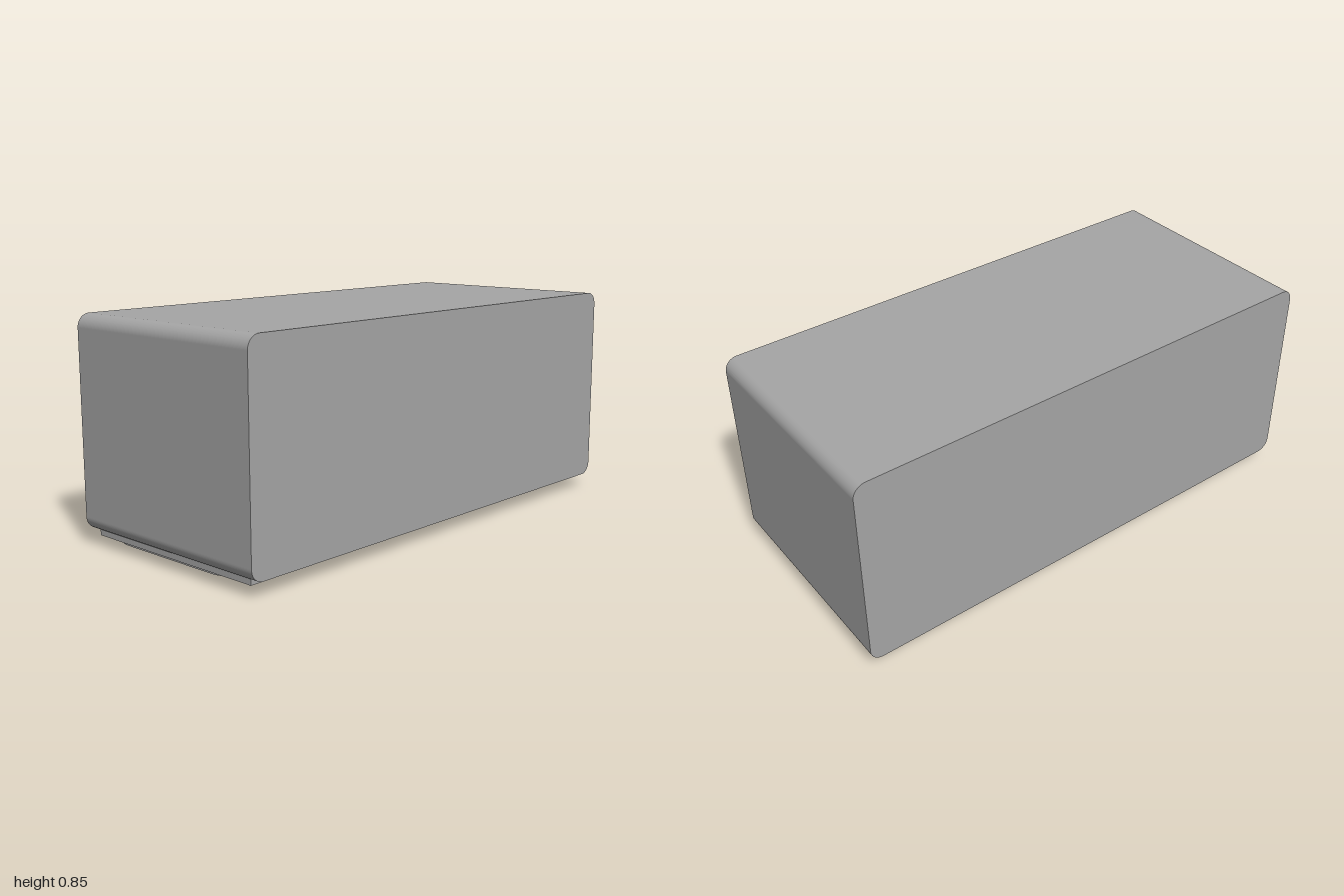
import * as THREE from 'three';

const material = new THREE.MeshStandardMaterial({ color: 0xa5a5a5 });

// Rounded rectangle between two corners
function roundedRect(x0, x1, y0, y1, r) {
  const s = new THREE.Shape();
  s.absarc(x1 - r, y0 + r, r, -Math.PI / 2, 0);
  s.absarc(x1 - r, y1 - r, r, 0, Math.PI / 2);
  s.absarc(x0 + r, y1 - r, r, Math.PI / 2, Math.PI);
  s.absarc(x0 + r, y0 + r, r, Math.PI, Math.PI * 1.5);
  s.closePath();
  return s;
}

function addMesh(group, name, geometry) {
  const mesh = new THREE.Mesh(geometry, material);
  mesh.name = name;
  group.add(mesh);
  return mesh;
}

function addBox(group, name, [x0, x1], [y0, y1], [z0, z1]) {
  const mesh = addMesh(group, name, new THREE.BoxGeometry(x1 - x0, y1 - y0, z1 - z0));
  mesh.position.set((x0 + x1) / 2, (y0 + y1) / 2, (z0 + z1) / 2);
}

export function createModel() {
  const group = new THREE.Group();

  // Main block: rounded along its four long edges, flat front and back
  const body = new THREE.ExtrudeGeometry(roundedRect(-1, 1, 0.055, 0.848, 0.05), {
    depth: 0.892, bevelEnabled: false, curveSegments: 12,
  });
  body.translate(0, 0, -0.446);
  addMesh(group, 'body', body);

  // Base layer, split by a narrow slot
  addBox(group, 'baseLong', [-0.97, 0.558], [0.037, 0.06], [-0.404, 0.408]);
  addBox(group, 'baseShort', [0.576, 0.974], [0.037, 0.06], [-0.404, 0.408]);

  // Lower plate with rounded corners and a rectangular opening
  const outline = roundedRect(-0.945, 0.925, -0.269, 0.355, 0.08);
  const opening = [[-0.71, -0.178], [-0.71, 0.265], [0.41, 0.265], [0.41, -0.178]];
  outline.holes.push(new THREE.Path(opening.map(([x, y]) => new THREE.Vector2(x, y))));
  const plate = new THREE.ExtrudeGeometry(outline, {
    depth: 0.018, bevelEnabled: false, curveSegments: 12,
  });
  plate.rotateX(-Math.PI / 2).translate(0, 0.019, 0);
  addMesh(group, 'lowerPlate', plate);

  // Raised pad under the left end
  addBox(group, 'pad', [0.632, 0.84], [0, 0.019], [-0.267, 0.177]);

  return group;
}
